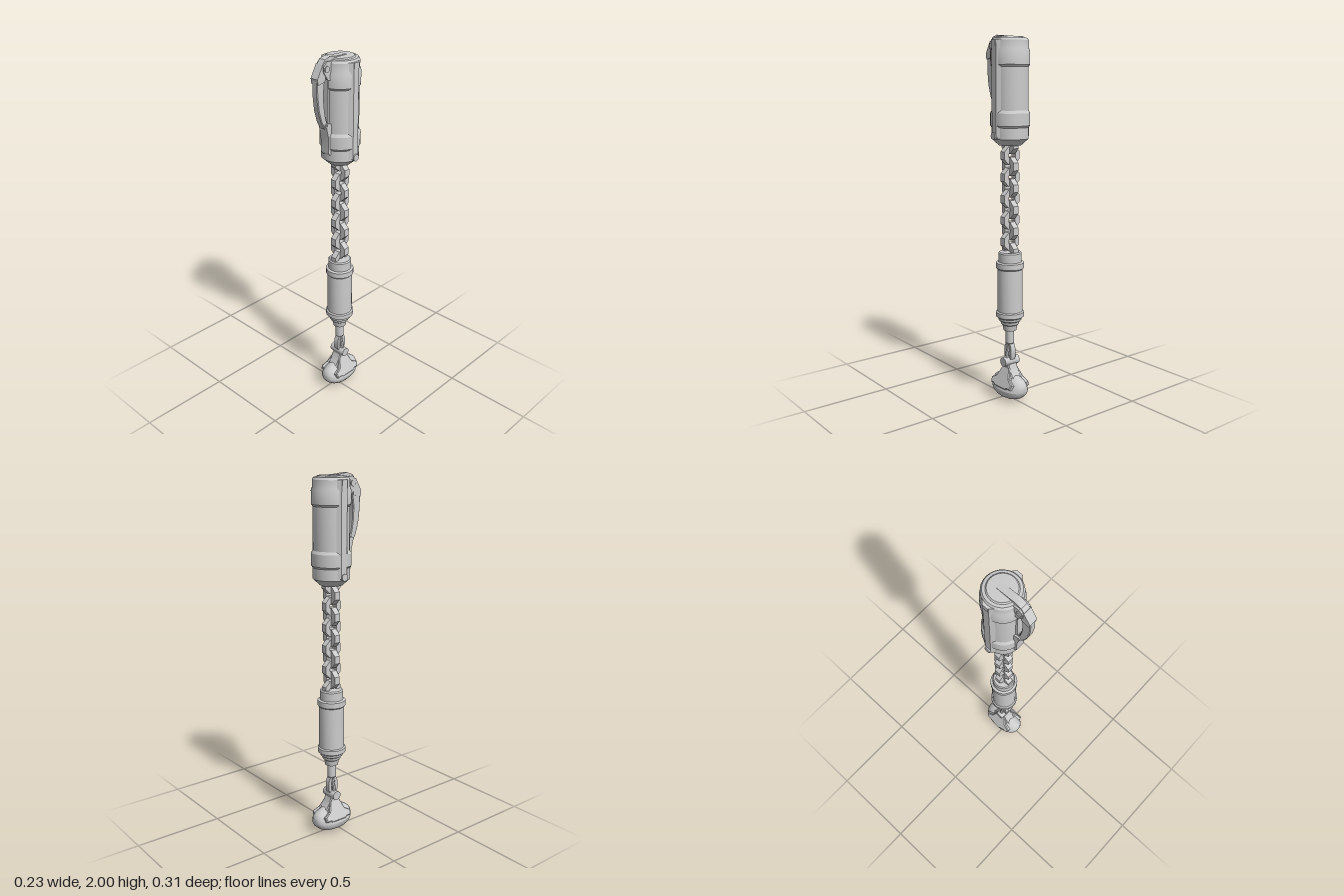
import * as THREE from 'three';
import { toCreasedNormals } from 'three/addons/utils/BufferGeometryUtils.js';

export function createModel() {
  const root = new THREE.Group();
  const metal = new THREE.MeshStandardMaterial({ color: 0xcccccc });
  metal.name = 'light grey metal';
  const AXIS = -0.03; // z of the shared vertical axis

  const add = (name, geo, x = 0, y = 0, z = AXIS, crease = 0.5) => {
    const mesh = new THREE.Mesh(toCreasedNormals(geo, crease), metal);
    mesh.name = name;
    mesh.position.set(x, y, z);
    root.add(mesh);
    return mesh;
  };
  const latheGeo = (pts, sides) =>
    new THREE.LatheGeometry(pts.map(([r, y]) => new THREE.Vector2(r, y)), sides);
  const shape = (pts) => new THREE.Shape(pts.map(([a, b]) => new THREE.Vector2(a, b)));
  // Side profile given as (z, y), extruded symmetrically about x
  const sidePlate = (name, pts, width, x = 0, bevel = 0) => {
    const geo = new THREE.ExtrudeGeometry(shape(pts.map(([z, y]) => [-z, y])), {
      depth: width - 2 * bevel, bevelEnabled: bevel > 0, bevelSize: bevel, bevelThickness: bevel, bevelSegments: 1,
    });
    geo.translate(0, 0, bevel - width / 2);
    geo.rotateY(Math.PI / 2);
    return add(name, geo, x, 0, 0);
  };
  const pin = (name, r, len, x, y, z) => {
    const geo = new THREE.CylinderGeometry(r, r, len, 12);
    geo.rotateZ(Math.PI / 2);
    return add(name, geo, x, y, z, 0.6);
  };

  // Upper canister with two raised bands
  add('canister', latheGeo([
    [0, 1.425], [0.06, 1.425], [0.099, 1.46], [0.099, 1.52], [0.106, 1.53], [0.106, 1.595],
    [0.097, 1.61], [0.097, 1.835], [0.104, 1.845], [0.104, 1.915], [0.098, 1.93], [0.098, 1.968],
    [0.09, 1.98], [0.076, 1.982], [0.07, 1.988], [0, 1.988],
  ], 28));

  // Vertical side rails with a bolt at the foot
  for (const s of [1, -1]) {
    const rail = new THREE.ExtrudeGeometry(
      shape([[-0.04, 0.086], [0.04, 0.086], [0.018, 0.108], [-0.018, 0.108]]), { depth: 0.5, bevelEnabled: false });
    rail.rotateX(-Math.PI / 2);
    rail.rotateY(s * Math.PI / 2 + Math.PI);
    add('sideRail', rail, 0, 1.47);
    pin('railBolt', 0.019, 0.024, s * 0.103, 1.478, AXIS);
    add('railCap', new THREE.BoxGeometry(0.012, 0.03, 0.034), s * 0.105, 1.955);
  }

  // Top latch, hinge cheeks and curved lever
  sidePlate('topLatch', [[-0.055, 1.98], [-0.055, 1.99], [0.02, 1.994], [0.06, 2.0], [0.095, 1.99],
    [0.115, 1.965], [0.1, 1.93], [0.06, 1.95], [0.04, 1.975]], 0.038);
  for (const s of [1, -1]) {
    sidePlate('hingeCheek', [[0.055, 1.88], [0.055, 1.978], [0.09, 1.982], [0.114, 1.96], [0.112, 1.93], [0.085, 1.89]], 0.012, s * 0.022);
    pin('hingePin', 0.016, 0.01, s * 0.028, 1.945, 0.092);
  }
  sidePlate('leverHead', [[0.09, 1.96], [0.115, 1.97], [0.152, 1.905], [0.147, 1.875], [0.1, 1.885]], 0.046);
  sidePlate('leverArm', [[0.146, 1.9], [0.146, 1.82], [0.136, 1.74], [0.118, 1.68], [0.098, 1.645],
    [0.08, 1.652], [0.095, 1.7], [0.105, 1.76], [0.107, 1.83], [0.098, 1.9]], 0.036, 0, 0.004);
  pin('leverTipPin', 0.012, 0.05, 0, 1.658, 0.088);
  sidePlate('lowerBracket', [[0.055, 1.5], [0.055, 1.66], [0.088, 1.67], [0.094, 1.64], [0.084, 1.6], [0.082, 1.51], [0.072, 1.495]], 0.054);
  add('spine', new THREE.BoxGeometry(0.034, 0.38, 0.02), 0, 1.75, 0.066);

  // Octagonal chain, every second link turned a quarter
  const octagon = (rx, ry) => Array.from({ length: 8 }, (_, i) => {
    const a = (i + 0.5) * Math.PI / 4;
    return [Math.cos(a) * rx, Math.sin(a) * ry];
  });
  const linkGeo = (rx, ry, wall, depth) => {
    const ring = shape(octagon(rx, ry));
    ring.holes.push(shape(octagon(rx - wall, ry - wall)));
    const geo = new THREE.ExtrudeGeometry(ring, { depth, bevelEnabled: false });
    geo.translate(0, 0, -depth / 2);
    return geo;
  };
  for (let i = 0; i < 11; i++) {
    const link = add('chainLink', linkGeo(0.055, 0.054, 0.031, 0.034), 0, 1.43 - i * 0.0585);
    if (i % 2 === 0) link.rotation.y = Math.PI / 2;
  }

  // Lower cylinder with flanges and a stepped taper into the rod
  add('lowerCylinder', latheGeo([
    [0, 0.315], [0.017, 0.315], [0.024, 0.325], [0.024, 0.394], [0.036, 0.398], [0.042, 0.43],
    [0.05, 0.436], [0.054, 0.452], [0.063, 0.458], [0.066, 0.472], [0.078, 0.48], [0.078, 0.505],
    [0.07, 0.51], [0.07, 0.748], [0.077, 0.755], [0.077, 0.785], [0.064, 0.79], [0.064, 0.838],
    [0.058, 0.845], [0, 0.845],
  ], 24));

  // Swivel eye, pin and shackle arms
  const eye = add('swivelEye', linkGeo(0.032, 0.07, 0.018, 0.03), 0, 0.27);
  eye.rotation.y = Math.PI / 2;
  pin('shacklePin', 0.026, 0.098, 0, 0.218, AXIS);
  for (const s of [1, -1]) {
    const arm = add('shackleArm', new THREE.CylinderGeometry(0.009, 0.012, 0.09, 8), s * 0.019, 0.265);
    arm.rotation.z = s * 0.2;
  }

  // Neck joining the pin to the weight
  const onAxis = (pts) => pts.map(([z, y]) => [z + AXIS, y]);
  sidePlate('weightNeck', onAxis([[-0.085, 0.08], [-0.085, 0.105], [-0.056, 0.13], [-0.03, 0.17], [-0.022, 0.2],
    [0.022, 0.2], [0.03, 0.17], [0.056, 0.13], [0.085, 0.105], [0.085, 0.08]]), 0.064, 0, 0.006);
  add('neckStrap', new THREE.BoxGeometry(0.05, 0.09, 0.044), 0, 0.185);

  // Oval weight: a blunt-ended lathe narrowed across x, more so toward the top
  const bowl = latheGeo([
    [0, 0], [0.05, 0.005], [0.09, 0.02], [0.113, 0.04], [0.123, 0.062], [0.123, 0.09], [0.114, 0.11],
    [0.1, 0.122], [0.08, 0.134], [0.05, 0.146], [0, 0.15],
  ], 28);
  const pos = bowl.attributes.position;
  for (let i = 0; i < pos.count; i++) {
    const x = pos.getX(i), y = pos.getY(i);
    const r = Math.hypot(x, pos.getZ(i)) || 1;
    const blunt = Math.sign(x) * Math.pow(Math.abs(x) / r, 0.8) * r;
    pos.setX(i, blunt * (0.64 - Math.max(0, y - 0.055) * 2.8));
  }
  add('weight', bowl);

  // Raised plates leaning inward on both flanks of the weight
  for (const s of [1, -1]) {
    const plate = sidePlate('flankPlate', onAxis([[-0.08, 0.078], [-0.085, 0.1], [-0.05, 0.122], [-0.028, 0.18], [0.028, 0.18],
      [0.05, 0.122], [0.085, 0.1], [0.08, 0.078], [0.055, 0.078], [0.045, 0.07], [-0.045, 0.07], [-0.055, 0.078]]), 0.03, s * 0.088, 0.005);
    plate.rotation.z = s * 0.4;
    plate.position.y = 0.01;
  }
  return root;
}
